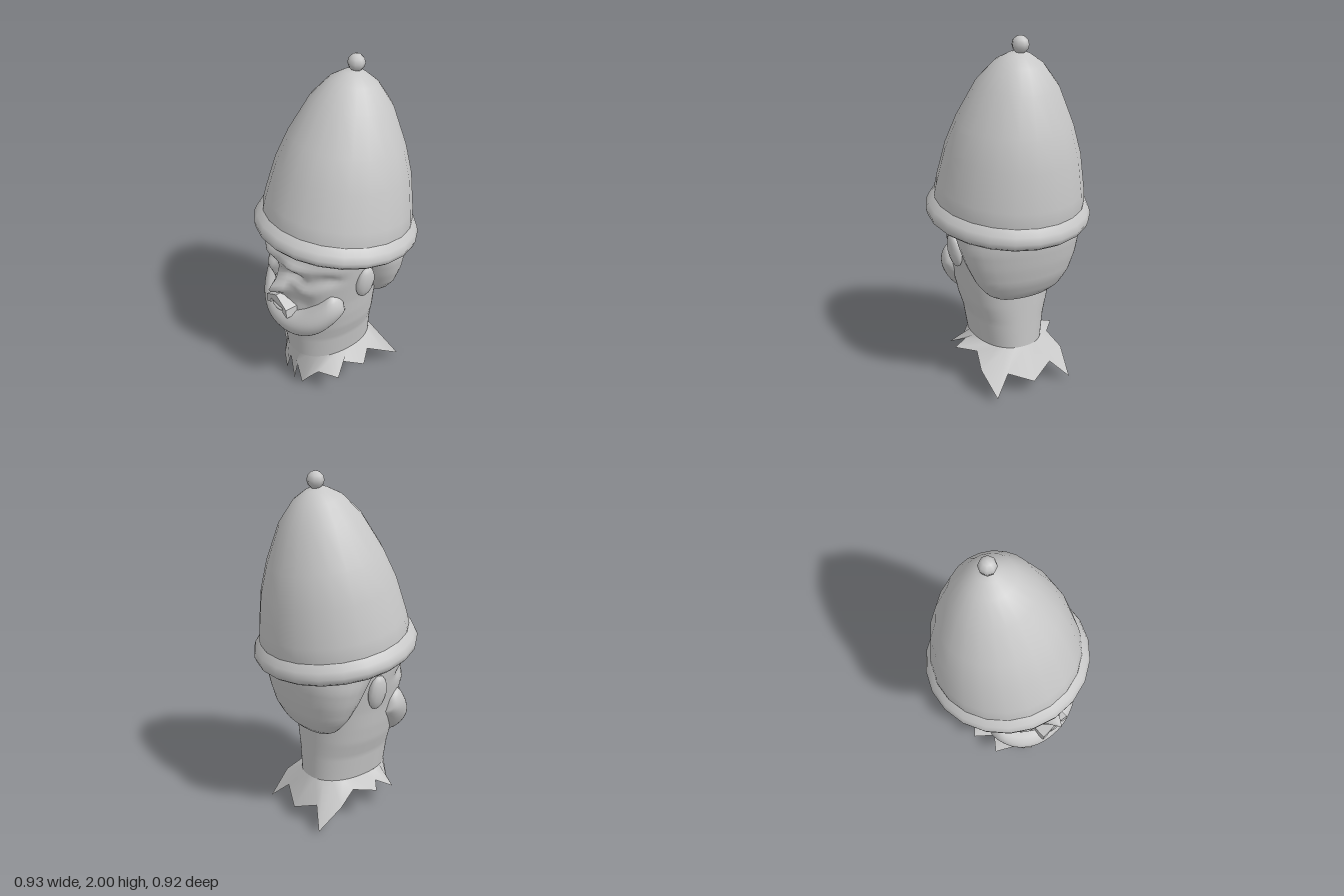
import * as THREE from 'three';
import { mergeVertices } from 'three/addons/utils/BufferGeometryUtils.js';

const grey = new THREE.MeshStandardMaterial({ color: 0xc8c8c8, side: THREE.DoubleSide });
grey.name = 'plain grey';

// Surface from a rule fn(u, v) -> [x, y, z]; u runs round to the left, v runs downward.
function grid(fn, nu, nv) {
  const pos = [], idx = [];
  for (let j = 0; j <= nv; j++) for (let i = 0; i <= nu; i++) pos.push(...fn(i / nu, j / nv));
  for (let j = 0; j < nv; j++) for (let i = 0; i < nu; i++) {
    const a = j * (nu + 1) + i, b = a + nu + 1;
    idx.push(a, b, a + 1, a + 1, b, b + 1);
  }
  let g = new THREE.BufferGeometry();
  g.setAttribute('position', new THREE.Float32BufferAttribute(pos, 3));
  g.setIndex(idx);
  g = mergeVertices(g, 1e-4);
  g.computeVertexNormals();
  return g;
}

// Linear lookup in rows [y, halfWidth, zFront, zBack], listed from the top down.
function section(rows, y) {
  let i = 0;
  while (i < rows.length - 2 && y < rows[i + 1][0]) i++;
  const [p, q] = [rows[i], rows[i + 1]];
  const t = THREE.MathUtils.clamp((y - p[0]) / (q[0] - p[0]), 0, 1);
  return p.map((n, k) => n + (q[k] - n) * t);
}

const power = (n, e) => Math.sign(n) * Math.abs(n) ** e;
function around(rows, a, y, e = 0.9) {
  const [, w, zf, zb] = section(rows, y), zc = (zf + zb) / 2;
  return [w * power(Math.sin(a), e), y, zc + (zf - zc) * power(Math.cos(a), e)];
}

const headRows = [
  [1.3, 0.0, 0.0, 0.0], [1.26, 0.17, 0.15, -0.15], [1.15, 0.32, 0.31, -0.2], [1.05, 0.34, 0.355, -0.21],
  [0.97, 0.335, 0.385, -0.21], [0.9, 0.325, 0.375, -0.21], [0.8, 0.305, 0.37, -0.21], [0.7, 0.285, 0.37, -0.21],
  [0.6, 0.27, 0.36, -0.205], [0.5, 0.25, 0.345, -0.205], [0.4, 0.218, 0.335, -0.205], [0.25, 0.195, 0.32, -0.205],
];
const hairRows = [
  [1.25, 0.3, 0.2, -0.32], [1.1, 0.365, 0.24, -0.385], [1.0, 0.37, 0.2, -0.383], [0.9, 0.362, 0.1, -0.37],
  [0.8, 0.335, 0.04, -0.35], [0.7, 0.29, -0.02, -0.322], [0.62, 0.23, -0.08, -0.28], [0.575, 0.15, -0.12, -0.235],
  [0.555, 0.0, -0.18, -0.18],
];

// Face features: [x, y, spreadX, spreadY, forward amount]
const features = [
  [0, 0.77, 0.04, 0.045, 0.09], [0, 0.85, 0.03, 0.06, 0.03], [0.11, 0.95, 0.08, 0.03, 0.025],
  [0.1, 0.88, 0.055, 0.03, -0.045], [0.17, 0.81, 0.06, 0.04, 0.025], [0.13, 0.7, 0.06, 0.05, -0.02],
  [0.27, 0.9, 0.04, 0.04, -0.04],
];
function headPoint(u, v) {
  const a = Math.PI * (2 * u - 1);
  const p = around(headRows, a, 1.3 - 1.05 * v);
  if (Math.cos(a) > 0) for (const [x, y, sx, sy, d] of features)
    p[2] += d * Math.exp(-(((Math.abs(p[0]) - x) / sx) ** 2) - ((p[1] - y) / sy) ** 2);
  return p;
}

// Beard: a padded crescent wrapping the jaw from cheek to cheek
function beardPoint(u, v) {
  const end = 1.38, a = end * (2 * u - 1), s = Math.abs(a);
  const tip = Math.max(0, (s - 1.02) / (end - 1.02));
  const top = 0.62 + 0.17 * Math.min(1, s / 1.02) ** 2 - 0.13 * (1 - Math.sqrt(Math.max(0, 1 - tip * tip)));
  const bottom = 0.43 + 0.23 * (s / end) ** 3;
  const y = top + (bottom - top) * v;
  const p = around(headRows, a, y);
  const puff = 0.078 * Math.max(0, Math.sin(Math.PI * v)) ** 0.6 * Math.sqrt(Math.max(0, 1 - (s / end) ** 4));
  const bulge = puff - 0.008 * (1 - Math.sin(Math.PI * v));
  return [p[0] + bulge * Math.sin(a), y, p[2] + bulge * Math.cos(a)];
}

// Half outline of the torn collar, from the front centre round to the back
const collarHalf = [
  [0, 0, 0.32], [0.03, 0.17, 0.32], [0.08, 0.03, 0.32], [0.13, 0.1, 0.3], [0.17, 0.15, 0.26], [0.29, 0.16, 0.2],
  [0.23, 0.2, 0.12], [0.33, 0.21, 0.04], [0.24, 0.21, -0.06], [0.27, 0.15, -0.17], [0.24, 0.03, -0.31],
  [0.14, 0.13, -0.25], [0, 0.07, -0.31],
];
function collarPoint(u, v) {
  const k = Math.round(u * 24) - 12, [x, y, z] = collarHalf[Math.abs(k)];
  const inner = around(headRows, k * Math.PI / 12, 0.25);
  return [Math.sign(k) * x, y, z].map((n, i) => inner[i] + (n - inner[i]) * v);
}

export function createModel() {
  const model = new THREE.Group();
  const add = (name, geometry, parent = model) => {
    const mesh = new THREE.Mesh(geometry, grey);
    mesh.name = name;
    parent.add(mesh);
    return mesh;
  };

  add('headAndNeck', grid(headPoint, 56, 56));
  add('hair', grid((u, v) => around(hairRows, Math.PI * (2 * u - 1), 1.25 - 0.695 * v, 1), 32, 24));
  add('beard', grid(beardPoint, 40, 14));
  add('tornCollar', grid(collarPoint, 24, 1));

  // Ears
  for (const side of [-1, 1]) {
    const ear = add(side > 0 ? 'leftEar' : 'rightEar', new THREE.SphereGeometry(1, 12, 8));
    ear.scale.set(0.035, 0.105, 0.06);
    ear.position.set(side * 0.318, 0.83, 0.04);
    ear.rotation.z = -side * 0.15;
  }

  // Moustache arching over the lips
  const arch = [[-0.1, 0.61], [-0.06, 0.625], [-0.055, 0.655], [0.055, 0.655], [0.06, 0.625], [0.1, 0.61],
    [0.095, 0.665], [0.03, 0.7], [0, 0.715], [-0.03, 0.7], [-0.095, 0.665]];
  const shape = new THREE.Shape(arch.map(([x, y]) => new THREE.Vector2(x, y)));
  add('moustache', new THREE.ExtrudeGeometry(shape, { depth: 0.08, bevelEnabled: false })).position.z = 0.34;
  const lip = add('lowerLip', new THREE.SphereGeometry(1, 12, 8));
  lip.scale.set(0.065, 0.02, 0.04);
  lip.position.set(0, 0.63, 0.385);

  // Tall hat, tipped back, with a rolled rim
  const hat = new THREE.Group();
  hat.name = 'hat';
  hat.position.y = 1.03;
  hat.rotation.x = -0.14;
  model.add(hat);
  const lathe = (pts) => new THREE.LatheGeometry(pts.map(([r, h]) => new THREE.Vector2(r, h)), 22, Math.PI / 2);
  add('hatCrown', lathe([[0.415, 0.02], [0.42, 0.1], [0.41, 0.17], [0.37, 0.37], [0.315, 0.53], [0.22, 0.73],
    [0.13, 0.84], [0.06, 0.885], [0, 0.9]]), hat);
  add('hatRim', lathe([[0.41, 0.03], [0.415, -0.02], [0.435, -0.028], [0.455, -0.01], [0.463, 0.02], [0.45, 0.055],
    [0.42, 0.09]]), hat);

  // Knob on the crown
  add('hatKnob', new THREE.SphereGeometry(0.047, 8, 6)).position.set(0, 1.953, -0.13);

  return model;
}
